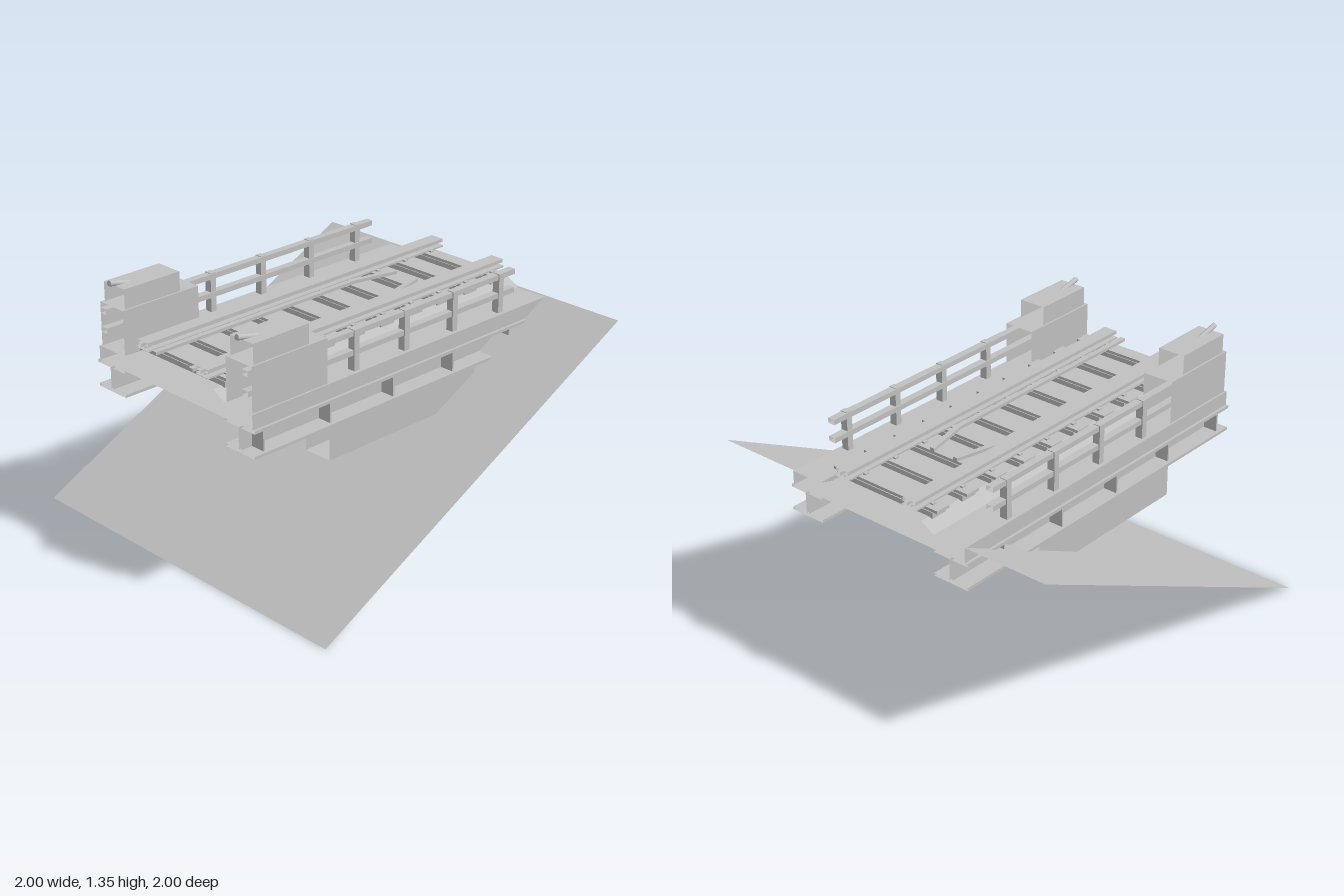
import * as THREE from 'three';

const grey = new THREE.MeshStandardMaterial({ color: 0xc0c0c0, side: THREE.DoubleSide });
grey.name = 'light grey';

// Open-ended strip along x through [z, y] profile points (outward when run top, back, bottom, front)
function section(profile, x0, x1, closed = true) {
  const pos = [];
  const n = profile.length;
  for (let i = 0; i < (closed ? n : n - 1); i++) {
    const [z0, y0] = profile[i];
    const [z1, y1] = profile[(i + 1) % n];
    pos.push(x0, y0, z0, x1, y0, z0, x1, y1, z1);
    pos.push(x0, y0, z0, x1, y1, z1, x0, y1, z1);
  }
  const g = new THREE.BufferGeometry();
  g.setAttribute('position', new THREE.Float32BufferAttribute(pos, 3));
  g.computeVertexNormals();
  return g;
}

// Rectangular tube without end faces
const tube = (x0, x1, y0, y1, z0, z1) =>
  section([[z1, y1], [z0, y1], [z0, y0], [z1, y0]], x0, x1);

// Solid box from its limits
function block(x0, x1, y0, y1, z0, z1) {
  const g = new THREE.BoxGeometry(x1 - x0, y1 - y0, z1 - z0);
  return g.translate((x0 + x1) / 2, (y0 + y1) / 2, (z0 + z1) / 2);
}

// I-shaped profile centred on z = c
function iProfile(c, y0, y1, top, foot, web, tTop, tFoot) {
  const half = [[top, y1], [top, y1 - tTop], [web, y1 - tTop], [web, y0 + tFoot], [foot, y0 + tFoot], [foot, y0]];
  const back = half.map(([z, y]) => [c - z, y]);
  const front = half.map(([z, y]) => [c + z, y]).reverse();
  return [...back, ...front];
}

export function createModel() {
  const model = new THREE.Group();
  model.name = 'railwayBridge';
  const add = (name, geometry) => {
    const m = new THREE.Mesh(geometry, grey);
    m.name = name;
    model.add(m);
    return m;
  };

  // Sloping ground sheet, rising towards +x
  add('slopingGround', section([[1, 0], [-1, 0]], -1, 1, false));
  const p = model.children[0].geometry.attributes.position;
  for (let i = 0; i < p.count; i++) p.setY(i, (p.getX(i) + 1) / 2);
  model.children[0].geometry.computeVertexNormals();

  // Deck slab and ballast bed
  add('deck', tube(-1, 1, 0.92, 0.995, -0.54, 0.54));
  add('ballast', section([[0.36, 0.996], [0.28, 1.035], [-0.28, 1.035], [-0.36, 0.996]], -1, 1, false));

  // Sleepers with rail fastenings
  for (let i = 0; i < 10; i++) {
    const x = -0.9 + i * 0.2;
    add('sleeper', block(x - 0.045, x + 0.045, 1.03, 1.06, -0.3, 0.3));
    add('sleeperTop', block(x - 0.04, x + 0.04, 1.06, 1.075, -0.325, 0.325));
    for (const z of [-0.265, -0.155, 0.155, 0.265])
      add('fastening', block(x - 0.012, x + 0.012, 1.075, 1.083, z - 0.008, z + 0.008));
  }

  for (const s of [-1, 1]) {
    // Symmetric limits mirrored to either side
    const mirror = (make, x0, x1, y0, y1, a, b) =>
      make(x0, x1, y0, y1, Math.min(s * a, s * b), Math.max(s * a, s * b));

    // Running rail
    add('rail', section(iProfile(s * 0.21, 1.075, 1.118, 0.038, 0.045, 0.012, 0.018, 0.009), -1, 1));

    // Inner guard rail, bent inwards at its end
    const shape = new THREE.Shape(
      [[-1, 0.115], [0.29, 0.115], [0.54, 0.06], [0.54, 0.085], [0.3, 0.143], [-1, 0.143]]
        .map(([x, z]) => new THREE.Vector2(x, -s * z)));
    const guard = new THREE.ExtrudeGeometry(shape, { depth: 0.016, bevelEnabled: false });
    guard.rotateX(-Math.PI / 2).translate(0, 1.075, 0);
    add('guardRail', guard);

    // Main girder with outer stiffeners
    add('girder', section(iProfile(s * 0.455, 0.78, 0.92, 0.1, 0.1, 0.008, 0.015, 0.015), -1, 1));
    for (const x of [-0.93, -0.515, -0.1, 0.315, 0.73])
      add('stiffener', mirror(block, x - 0.005, x + 0.005, 0.795, 0.905, 0.46, 0.538));
    add('lowerGirder', mirror(tube, -0.52, 0.48, 0.6, 0.78, 0.375, 0.535));

    // Stepped end pier with a slanting rod
    add('pier', mirror(tube, -0.99, -0.53, 0.995, 1.22, 0.36, 0.53));
    add('pierCap', mirror(tube, -0.97, -0.635, 1.22, 1.32, 0.37, 0.52));
    const rod = new THREE.CylinderGeometry(0.014, 0.014, 0.2, 12);
    rod.rotateZ(Math.PI / 2 - 0.22).translate(-0.9, 1.315, s * 0.445);
    add('rod', rod);

    // Handrail
    for (const x of [-0.33, 0.005, 0.34, 0.675])
      add('railingPost', mirror(block, x - 0.017, x + 0.017, 0.995, 1.2, 0.48, 0.52));
    add('topHandrail', mirror(tube, -1, 0.78, 1.17, 1.197, 0.475, 0.515));
    add('middleHandrail', mirror(tube, -1, 0.78, 1.073, 1.1, 0.475, 0.515));
  }
  return model;
}
